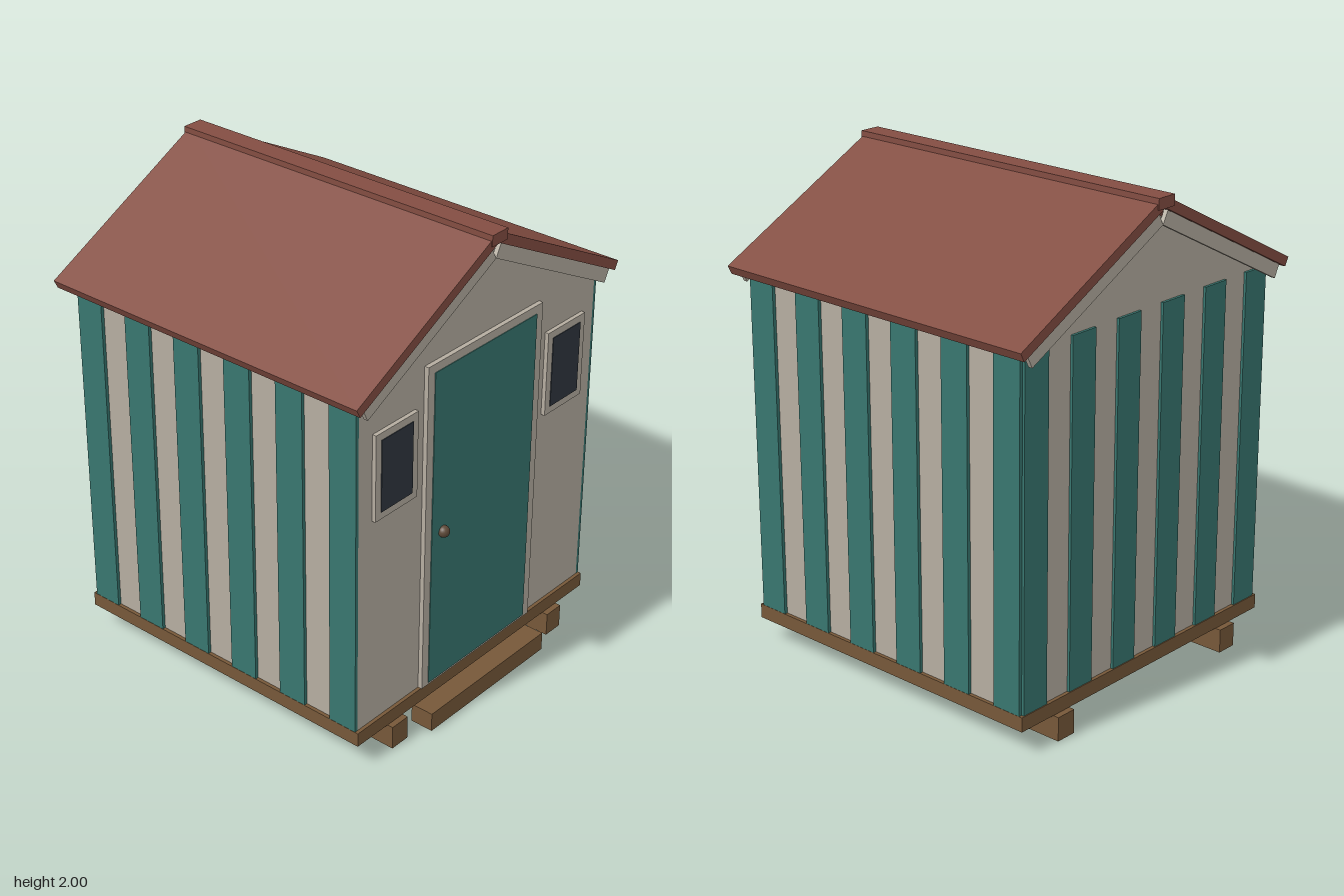
import * as THREE from 'three';

const material = (name, color) => {
  const m = new THREE.MeshStandardMaterial({ color });
  m.name = name;
  return m;
};

export function createModel() {
  const cream = material('creamPaint', 0xb5ada0);
  const teal = material('tealPaint', 0x38766f);
  const red = material('redRoofing', 0x834d42);
  const wood = material('brownTimber', 0x765839);
  const glass = material('darkGlass', 0x2f363f);
  const metal = material('knobMetal', 0x5e4a39);

  const model = new THREE.Group();
  model.name = 'shed';

  const add = (name, geometry, mat) => {
    const mesh = new THREE.Mesh(geometry, mat);
    mesh.name = name;
    model.add(mesh);
    return mesh;
  };

  // Box given by its extents on each axis
  const box = (name, mat, [x0, x1], [y0, y1], [z0, z1]) => {
    const mesh = add(name, new THREE.BoxGeometry(x1 - x0, y1 - y0, z1 - z0), mat);
    mesh.position.set((x0 + x1) / 2, (y0 + y1) / 2, (z0 + z1) / 2);
    return mesh;
  };

  // Sloping board whose lower inner corner sits on the centre line
  const pitch = Math.atan(0.515);
  const slopedBoard = (name, mat, side, y, length, thickness, [z0, z1]) => {
    const geometry = new THREE.BoxGeometry(length, thickness, z1 - z0);
    geometry.translate(side * length / 2, thickness / 2, 0);
    geometry.rotateZ(-side * pitch);
    add(name, geometry, mat).position.set(0, y, (z0 + z1) / 2);
  };

  // Floor, runners and doorstep
  box('floor', wood, [-0.715, 0.715], [0.1, 0.16], [-0.725, 0.705]);
  for (const x of [-0.495, 0.495]) {
    box('runner', wood, [x - 0.045, x + 0.045], [0, 0.1], [-0.75, 0.73]);
  }
  box('doorstep', wood, [-0.357, 0.357], [0, 0.08], [0.675, 0.775]);

  // Gabled wall body
  const gable = new THREE.Shape([
    [-0.7, 0.16], [0.7, 0.16], [0.7, 1.572], [0, 1.93], [-0.7, 1.572],
  ].map(([x, y]) => new THREE.Vector2(x, y)));
  const walls = new THREE.ExtrudeGeometry(gable, { depth: 1.4, bevelEnabled: false });
  add('walls', walls, cream).position.z = -0.71;

  // Raised teal planks on both sides and the back
  const plank = 1.4 / 11;
  for (let i = 0; i < 11; i += 2) {
    const z = 0.69 - i * plank;
    box('leftPlank', teal, [0.7, 0.714], [0.16, 1.572], [z - plank, z]);
    box('rightPlank', teal, [-0.714, -0.7], [0.16, 1.572], [z - plank, z]);
    const x = -0.7 + i * plank;
    box('backPlank', teal, [x, x + plank], [0.16, 1.572], [-0.721, -0.71]);
  }

  // Roof panels, bargeboards and ridge cap
  for (const side of [-1, 1]) {
    slopedBoard('roofPanel', red, side, 1.955, 0.852, 0.04, [-0.77, 0.745]);
    slopedBoard('frontBargeboard', cream, side, 1.89, 0.793, 0.057, [0.717, 0.735]);
    slopedBoard('backBargeboard', cream, side, 1.89, 0.793, 0.057, [-0.76, -0.742]);
  }
  box('ridgeCap', red, [-0.045, 0.045], [1.955, 2], [-0.775, 0.75]);

  // Door with frame and knob
  box('doorFrame', cream, [-0.34, 0.34], [0.16, 1.575], [0.685, 0.709]);
  box('door', teal, [-0.303, 0.303], [0.17, 1.54], [0.705, 0.712]);
  const knob = add('doorKnob', new THREE.SphereGeometry(0.024, 20, 14), metal);
  knob.position.set(-0.24, 0.84, 0.718);

  // Framed windows
  for (const x of [-0.508, 0.508]) {
    box('windowFrame', cream, [x - 0.118, x + 0.118], [1.06, 1.42], [0.685, 0.707]);
    box('windowPane', glass, [x - 0.088, x + 0.088], [1.09, 1.39], [0.703, 0.71]);
  }

  return model;
}
